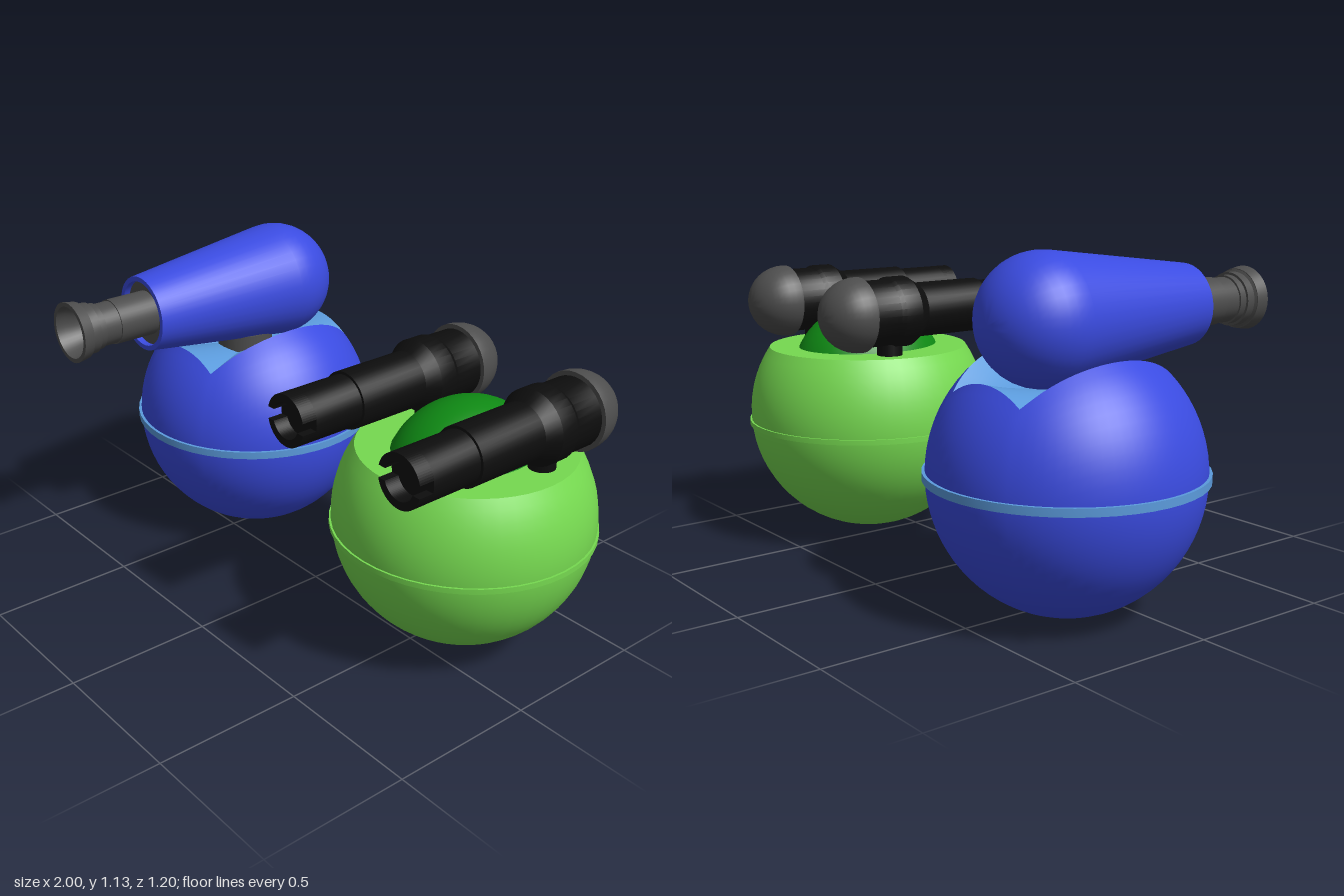
import * as THREE from 'three';
import { toCreasedNormals } from 'three/addons/utils/BufferGeometryUtils.js';

const mat = (color) => new THREE.MeshStandardMaterial({ color, side: THREE.DoubleSide });
const BLUE = mat(0x3a4be0), SKY = mat(0x5b9bdc), GREEN = mat(0x76d950);
const DARK_GREEN = mat(0x0f8a14), BLACK = mat(0x0d0d0d), GREY = mat(0x4d4d4d);

function add(parent, name, geometry, material, x = 0, y = 0, z = 0) {
  const mesh = new THREE.Mesh(geometry, material);
  mesh.name = name;
  mesh.position.set(x, y, z);
  parent.add(mesh);
  return mesh;
}

function group(parent, name, x, y, z) {
  const g = new THREE.Group();
  g.name = name;
  g.position.set(x, y, z);
  parent.add(g);
  return g;
}

// Turned part from [radius, height] pairs
function turned(points, segments = 40) {
  const g = new THREE.LatheGeometry(points.map(([r, y]) => new THREE.Vector2(r, y)), segments);
  return toCreasedNormals(g, 0.5);
}

// Turned part lying along +z
const turnedZ = (points, segments) => turned(points, segments).rotateX(Math.PI / 2);

// Closed band of loops: at(angle, t) gives a point, t runs 0..1
function loops(at, around, rows) {
  const pos = [], index = [];
  for (let j = 0; j <= rows; j++)
    for (let i = 0; i < around; i++) pos.push(...at((i / around) * Math.PI * 2, j / rows));
  for (let j = 0; j < rows; j++)
    for (let i = 0; i < around; i++) {
      const k = (i + 1) % around, a = j * around, b = a + around;
      index.push(a + i, b + i, a + k, a + k, b + i, b + k);
    }
  const g = new THREE.BufferGeometry();
  g.setAttribute('position', new THREE.Float32BufferAttribute(pos, 3));
  g.setIndex(index);
  g.computeVertexNormals();
  return toCreasedNormals(g, 0.5);
}

// Plan radius of the opening on top of the blue body: straight ends, bowed sides
function openingRadius(a) {
  let lo = 0, hi = 0.4;
  for (let n = 0; n < 30; n++) {
    const r = (lo + hi) / 2, x = Math.abs(r * Math.sin(a)), z = Math.abs(r * Math.cos(a));
    if (z < 0.31 && x < 0.16 + 0.07 * (1 - (z / 0.31) ** 2)) lo = r;
    else hi = r;
  }
  return lo;
}

function blueTurret(parent) {
  const g = group(parent, 'blueTurret', -0.56, 0.445, -0.16);
  const R = 0.432, H = 0.442;
  const rimY = (a) => H * Math.sqrt(1 - (openingRadius(a) / R) ** 2);

  // Round body below the shaped rim
  add(g, 'blueBody', loops((a, t) => {
    const start = Math.asin(openingRadius(a) / R);
    const th = start + (Math.PI - start) * t;
    const r = R * Math.sin(th);
    return [r * Math.sin(a), H * Math.cos(th), r * Math.cos(a)];
  }, 80, 28), BLUE);

  // Cradle dished between the rim and the pivot
  add(g, 'cradle', loops((a, t) => {
    const r = openingRadius(a) * t;
    return [r * Math.sin(a), THREE.MathUtils.lerp(0.265, rimY(a), t ** 2), r * Math.cos(a)];
  }, 80, 6), SKY);

  add(g, 'blueBelt', turned([[0.425, -0.013], [0.442, -0.013], [0.442, 0.013], [0.425, 0.013]], 48), SKY);
  add(g, 'pivot', new THREE.CylinderGeometry(0.1, 0.1, 0.08, 32), GREY, 0, 0.285, 0.04);

  // Cannon: ball-ended tapering housing, open in front
  const cannon = group(g, 'cannon', -0.01, 0.48, 0);
  const housing = [];
  for (let i = 0; i <= 12; i++) {
    const th = (i / 12) * 1.7;
    housing.push([0.205 * Math.sin(th), -0.108 - 0.205 * Math.cos(th)]);
  }
  housing.push([0.132, 0.475], [0.115, 0.475], [0.115, 0.45]);
  add(cannon, 'cannonHousing', turnedZ(housing), BLUE);
  add(cannon, 'housingEnd', new THREE.CircleGeometry(0.116, 40), GREY, 0, 0, 0.452);

  // Stepped barrel with a hollow muzzle
  add(cannon, 'cannonBarrel', turnedZ([
    [0.078, 0.45], [0.078, 0.6], [0.074, 0.6], [0.074, 0.66], [0.08, 0.66], [0.08, 0.685],
    [0.088, 0.685], [0.088, 0.715], [0.096, 0.72], [0.098, 0.72], [0.105, 0.76],
    [0.09, 0.76], [0.085, 0.73], [0.075, 0.7], [0.07, 0.62], [0, 0.62],
  ]), GREY);
}

function greenGun(parent, side) {
  const g = group(parent, side > 0 ? 'leftGun' : 'rightGun', 0.252 * side, 0.39, 0.16);
  // Stepped body with flared breech
  add(g, 'gunBody', turnedZ([
    [0, -0.36], [0.115, -0.36], [0.115, -0.25], [0.123, -0.235], [0.123, -0.17], [0.095, -0.125],
    [0.095, 0.135], [0.086, 0.135], [0.086, 0.318], [0, 0.318],
  ], 32), BLACK);

  // Two jaws with a slot between them at the tip
  const open = Math.asin(0.02 / 0.086), inner = Math.asin(0.02 / 0.06);
  for (const turn of [0, Math.PI]) {
    const jaw = new THREE.Shape();
    jaw.absarc(0, 0, 0.086, open, Math.PI - open, false);
    jaw.absarc(0, 0, 0.06, Math.PI - inner, inner, true);
    const geo = new THREE.ExtrudeGeometry(jaw, { depth: 0.054, bevelEnabled: false, curveSegments: 16 });
    add(g, 'muzzleJaw', geo.rotateZ(turn), BLACK, 0, 0, 0.316);
  }

  // Domed rear cap
  const cap = [];
  for (let i = 0; i <= 10; i++) {
    const th = (i / 10) * Math.PI / 2;
    cap.push([0.13 * Math.sin(th), -0.36 - 0.136 * Math.cos(th)]);
  }
  cap.push([0.13, -0.352], [0, -0.352]);
  add(g, 'rearCap', turnedZ(cap, 32), GREY);

  add(g, 'gunPost', new THREE.CylinderGeometry(0.044, 0.044, 0.12, 24), BLACK, 0, -0.1, -0.23);
}

function greenTurret(parent) {
  const g = group(parent, 'greenTurret', 0.558, 0.46, -0.16);
  // Round body cut flat on top
  const profile = [];
  const cut = Math.acos(0.24 / 0.43);
  for (let i = 0; i <= 24; i++) {
    const th = Math.PI + (cut - Math.PI) * (i / 24);
    profile.push([0.43 * Math.sin(th), 0.43 * Math.cos(th)]);
  }
  profile.push([0, 0.24]);
  add(g, 'greenBody', turned(profile, 48), GREEN);
  add(g, 'greenBelt', turned([[0.42, -0.04], [0.436, -0.04], [0.436, -0.022], [0.42, -0.022]], 48), GREEN);

  // Upper half of an oval dome standing through the flat top
  const dome = new THREE.SphereGeometry(1, 36, 14, 0, Math.PI * 2, 0, Math.PI / 2);
  add(g, 'dome', dome.scale(0.24, 0.255, 0.283), DARK_GREEN, 0, 0.14, 0);

  greenGun(g, 1);
  greenGun(g, -1);
}

export function createModel() {
  const model = new THREE.Group();
  model.name = 'turretPair';
  blueTurret(model);
  greenTurret(model);
  return model;
}
